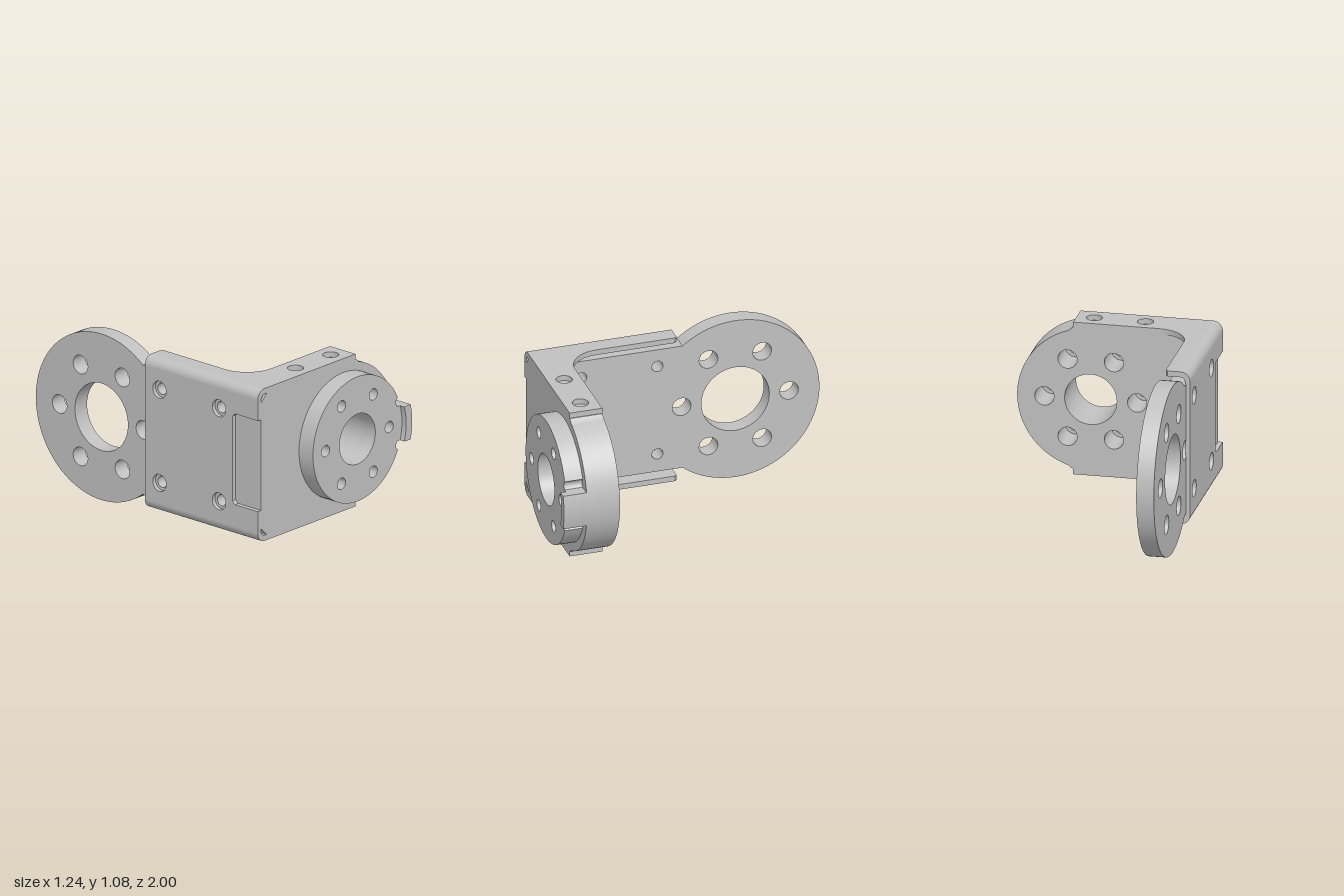
import * as THREE from 'three';
import { toCreasedNormals } from 'three/addons/utils/BufferGeometryUtils.js';

const CY = 0.54;                 // mid height
const CX = 0.16;                 // hub centre in x
const T = 0.035;                 // flange thickness
const metal = new THREE.MeshStandardMaterial({ color: 0xc0c0c0, side: THREE.DoubleSide });
metal.name = 'greyMetal';

const poly = (pts) => new THREE.Shape(pts.map(([x, y]) => new THREE.Vector2(x, y)));

function punch(shape, x, y, r) {
  const hole = new THREE.Path();
  hole.absarc(x, y, r, 0, Math.PI * 2, true);
  shape.holes.push(hole);
}

function boltCircle(shape, x, y, ring, r) {
  for (let i = 0; i < 6; i++) {
    const a = (i * Math.PI) / 3;
    punch(shape, x + ring * Math.cos(a), y + ring * Math.sin(a), r);
  }
}

function extrude(shape, depth) {
  return new THREE.ExtrudeGeometry(shape, { depth, bevelEnabled: false, curveSegments: 36 });
}

export function createModel() {
  const model = new THREE.Group();
  model.name = 'servoBracket';
  const add = (name, geo) => {
    const mesh = new THREE.Mesh(toCreasedNormals(geo, 0.5), metal);
    mesh.name = name;
    model.add(mesh);
  };
  // Extrusions along each axis; the x one takes (-z, y), the y one takes (x, z)
  const alongZ = (name, s, z0, z1) => add(name, extrude(s, z1 - z0).translate(0, 0, z0));
  const alongX = (name, s, x0, x1) => add(name, extrude(s, x1 - x0).rotateY(Math.PI / 2).translate(x0, 0, 0));
  const alongY = (name, s, y0, y1) => add(name, extrude(s, y1 - y0).rotateX(Math.PI / 2).translate(0, y1, 0));

  // Front plate with rounded hub end and small corner reliefs
  const plate = new THREE.Shape();
  plate.moveTo(-0.59, 0.13);
  plate.lineTo(-0.54, 0.08);
  plate.lineTo(0.275, 0.08);
  plate.lineTo(CX + 0.46 * Math.cos(1.26), CY - 0.46 * Math.sin(1.26));
  plate.absarc(CX, CY, 0.46, -1.26, 1.26, false);
  plate.lineTo(0.275, 1.0);
  plate.lineTo(-0.54, 1.0);
  plate.lineTo(-0.59, 0.95);
  plate.closePath();
  punch(plate, CX, CY, 0.163);
  boltCircle(plate, CX, CY, 0.29, 0.06);
  alongZ('frontPlate', plate, 0.64, 0.85);

  // Raised hub disc with two relief notches
  const hub = new THREE.Shape();
  hub.absarc(CX, CY, 0.405, 0.43, Math.PI * 2 - 0.43, false);
  hub.quadraticCurveTo(0.495, 0.395, 0.525, 0.428);
  hub.lineTo(0.549, 0.428);
  hub.absarc(CX, CY, 0.405, -0.28, 0.28, false);
  hub.lineTo(0.525, 0.652);
  hub.quadraticCurveTo(0.495, 0.685, CX + 0.405 * Math.cos(0.43), CY + 0.405 * Math.sin(0.43));
  punch(hub, CX, CY, 0.163);
  boltCircle(hub, CX, CY, 0.29, 0.037);
  alongZ('hubDisc', hub, 0.85, 0.965);

  // Stop tab on the hub rim
  const tab = new THREE.Shape();
  tab.absarc(CX, CY, 0.46, -0.25, 0.25, false);
  tab.absarc(CX, CY, 0.405, 0.28, -0.28, true);
  tab.closePath();
  alongZ('stopTab', tab, 0.85, 1.0);

  // L-shaped top and bottom flanges with screw holes
  for (const [name, y0] of [['topFlange', 1.0], ['bottomFlange', 0.045]]) {
    const f = new THREE.Shape();
    f.moveTo(-0.56, -0.08);
    f.lineTo(-0.48, -0.08);
    f.lineTo(-0.465, -0.065);
    f.lineTo(-0.465, 0.44);
    f.absarc(-0.265, 0.44, 0.2, Math.PI, Math.PI / 2, true);
    f.lineTo(0.27, 0.64);
    f.lineTo(0.27, 0.85);
    f.lineTo(-0.56, 0.85);
    f.closePath();
    punch(f, -0.16, 0.745, 0.05);
    punch(f, 0.16, 0.745, 0.05);
    alongY(name, f, y0, y0 + T);
  }

  // Rounded long edges joining the flanges to the side wall
  for (const [name, y, a] of [['topEdge', 0.975, Math.PI / 2], ['bottomEdge', 0.105, Math.PI]]) {
    const e = new THREE.Shape();
    e.absarc(-0.56, y, 0.06, a, a + Math.PI / 2, false);
    e.absarc(-0.56, y, 0.025, a + Math.PI / 2, a, true);
    e.closePath();
    alongZ(name, e, -0.08, 0.85);
  }

  // Thin outer side wall, notched at its front edge
  const wall = poly([
    [-0.85, 0.105], [0.08, 0.105], [0.08, 0.975], [-0.85, 0.975],
    [-0.85, 0.84], [-0.66, 0.84], [-0.64, 0.82], [-0.64, 0.27], [-0.66, 0.25], [-0.85, 0.25],
  ]);
  // Side arm: plate running back into a bored disc
  const arm = new THREE.Shape();
  const a0 = Math.PI - Math.asin(0.42 / 0.54);
  arm.moveTo(-0.64, 0.17);
  arm.lineTo(-0.6, 0.12);
  arm.absarc(0.46, CY, 0.54, -a0, a0, false);
  arm.lineTo(-0.6, 0.96);
  arm.lineTo(-0.64, 0.91);
  arm.closePath();
  punch(arm, 0.46, CY, 0.218);
  boltCircle(arm, 0.46, CY, 0.345, 0.06);
  for (const z of [0.53, 0.04]) {
    for (const y of [0.24, 0.845]) {
      punch(wall, -z, y, 0.055);
      punch(arm, -z, y, 0.036);
    }
  }
  alongX('sideWall', wall, -0.62, -0.59);
  alongX('sideArm', arm, -0.595, -0.485);

  // Bracing block in the inner corner, with a slightly bevelled end
  const block = poly([[-0.485, 0.45], [-0.31, 0.45], [-0.3, 0.46], [-0.3, 0.64], [-0.485, 0.64]]);
  alongY('cornerBlock', block, 0.437, 0.643);

  return model;
}
